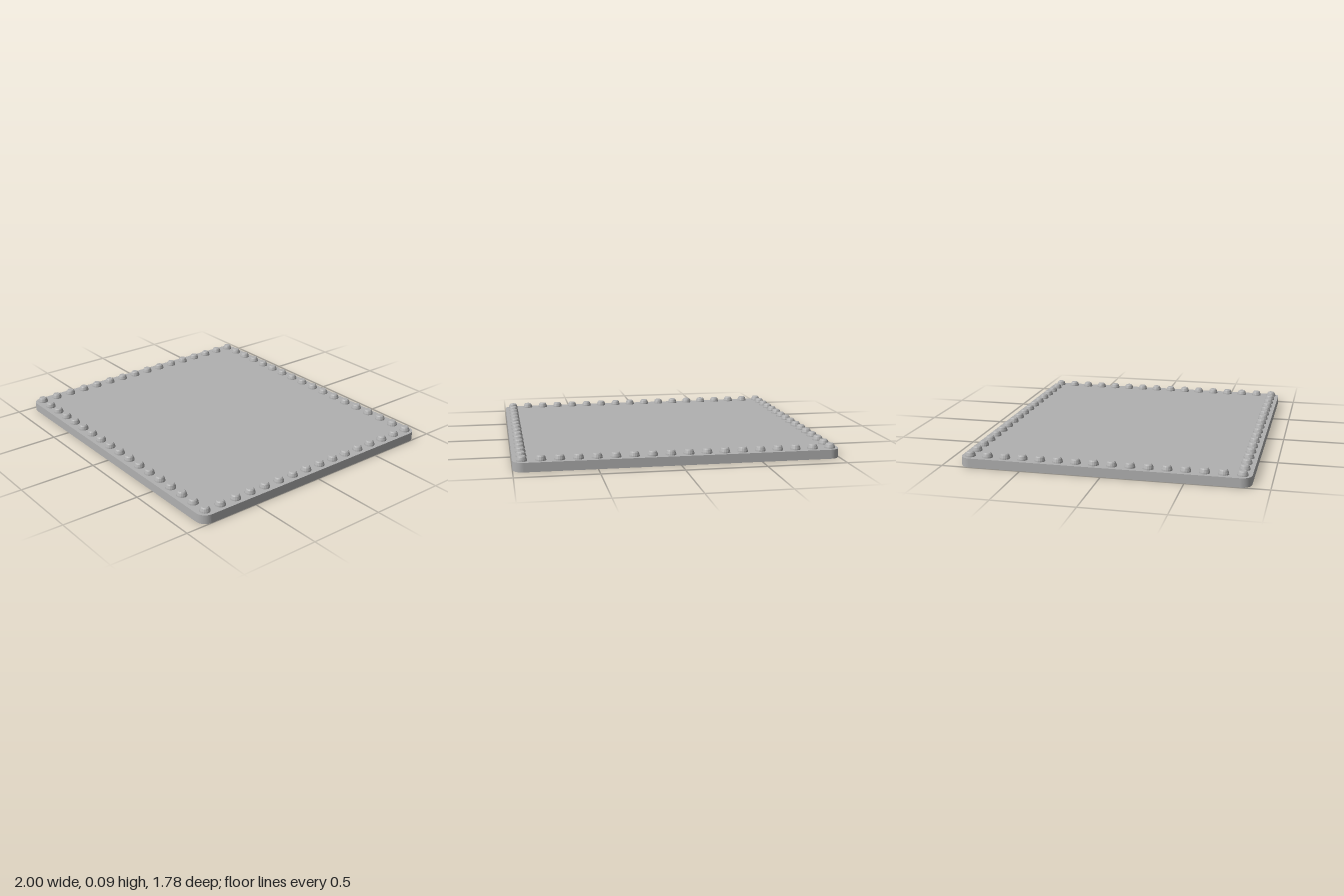
import * as THREE from 'three';

const WIDTH = 2, DEPTH = 1.777, THICK = 0.057, CORNER = 0.065;

// Rectangle with rounded corners, centred on the origin
function roundedRectangle(w, d, r) {
  const x = w / 2, y = d / 2;
  const s = new THREE.Shape();
  s.absarc(x - r, y - r, r, 0, Math.PI / 2);
  s.absarc(-x + r, y - r, r, Math.PI / 2, Math.PI);
  s.absarc(-x + r, -y + r, r, Math.PI, Math.PI * 1.5);
  s.absarc(x - r, -y + r, r, Math.PI * 1.5, Math.PI * 2);
  s.closePath();
  return s;
}

export function createModel() {
  const model = new THREE.Group();
  model.name = 'rivetedPlate';

  const grey = new THREE.MeshStandardMaterial({ color: 0xb0b0b0 });
  grey.name = 'plate grey';

  // Flat base plate
  const plateGeometry = new THREE.ExtrudeGeometry(
    roundedRectangle(WIDTH, DEPTH, CORNER),
    { depth: THICK, bevelEnabled: false, curveSegments: 8 }
  );
  plateGeometry.rotateX(-Math.PI / 2);
  const plate = new THREE.Mesh(plateGeometry, grey);
  plate.name = 'plate';
  model.add(plate);

  // Rivet: short collar, sloping side, small bevel and flat top
  const profile = [[0.033, 0], [0.032, 0.008], [0.026, 0.024], [0.02, 0.03], [0, 0.03]]
    .map(([r, y]) => new THREE.Vector2(r, y));
  const rivetGeometry = new THREE.LatheGeometry(profile, 16).toNonIndexed();
  rivetGeometry.computeVertexNormals();

  const rivets = new THREE.Group();
  rivets.name = 'rivets';
  model.add(rivets);
  function addRivet(x, z) {
    const rivet = new THREE.Mesh(rivetGeometry, grey);
    rivet.name = 'rivet';
    rivet.position.set(x, THICK, z);
    rivets.add(rivet);
  }

  // Even border: 18 along the front and back, 16 along each side sharing the corners
  const nx = 18, nz = 16, px = 0.945, pz = 0.833;
  for (const side of [-1, 1]) {
    for (let i = 0; i < nx; i++) addRivet(-px + (2 * px * i) / (nx - 1), side * pz);
    for (let i = 1; i < nz - 1; i++) addRivet(side * px, -pz + (2 * pz * i) / (nz - 1));
  }
  return model;
}
